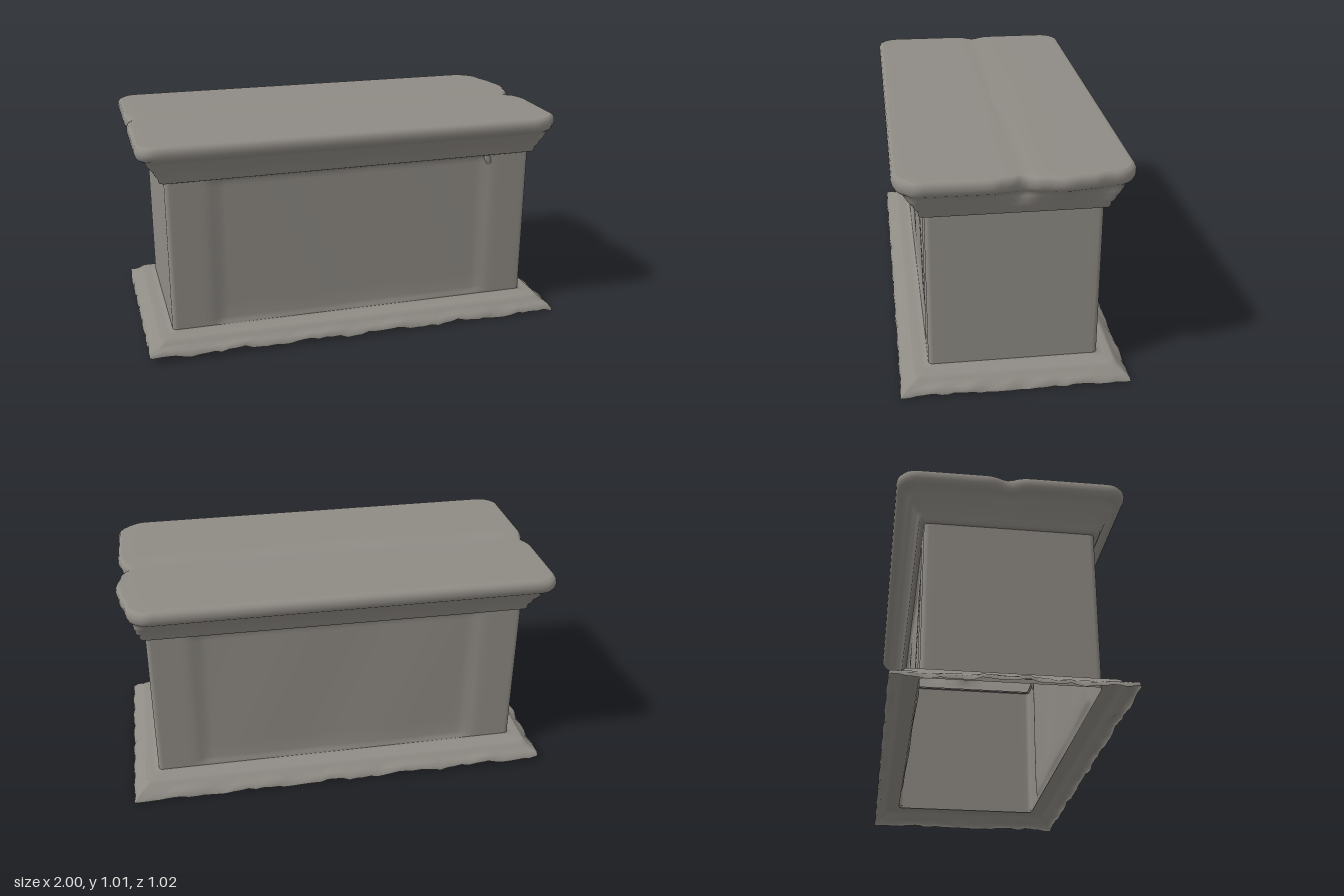
import * as THREE from 'three';

const BODY_X = 0.875, BODY_Z = 0.377, SHIFT_Z = -0.006;
const LONG = 56, SHORT = 36, ARC = 6;
const smooth = THREE.MathUtils.smoothstep;

// Rounded rectangle, counter-clockwise seen from above, same point count for every size
function ring(hx, hz, r) {
  const pts = [];
  const corners = [[1, -1, 0], [-1, -1, 1], [-1, 1, 2], [1, 1, 3]];
  corners.forEach(([sx, sz, q], k) => {
    for (let i = 0; i <= ARC; i++) {
      const a = (q + i / ARC) * Math.PI / 2;
      pts.push([sx * (hx - r) + r * Math.cos(a), sz * (hz - r) - r * Math.sin(a)]);
    }
    const [nx, nz] = corners[(k + 1) % 4];
    const a = (q + 1) * Math.PI / 2;
    const from = pts[pts.length - 1];
    const to = [nx * (hx - r) + r * Math.cos(a), nz * (hz - r) - r * Math.sin(a)];
    const n = k % 2 ? SHORT : LONG;
    for (let i = 1; i < n; i++) {
      const t = i / n;
      pts.push([from[0] + (to[0] - from[0]) * t, from[1] + (to[1] - from[1]) * t]);
    }
  });
  return pts;
}

// Skin over rings of [x, y, z] listed from bottom to top
function loft(rings) {
  const n = rings[0].length, index = [];
  for (let i = 0; i < rings.length - 1; i++) {
    for (let j = 0; j < n; j++) {
      const a = i * n + j, b = i * n + (j + 1) % n;
      index.push(a, b, b + n, a, b + n, a + n);
    }
  }
  const geo = new THREE.BufferGeometry();
  geo.setAttribute('position', new THREE.Float32BufferAttribute(rings.flat(2), 3));
  geo.setIndex(index);
  geo.computeVertexNormals();
  return geo;
}

// Rings from a profile of [y, outward offset, corner radius], bent by a rule
function profileRings(profile, rule) {
  return profile.map(([y, d, r]) =>
    ring(BODY_X + d, BODY_Z + d * 1.04, r).map(([x, z]) => rule(x, y, z + SHIFT_Z, d)));
}

// Worn outline of the +x end: [z, depth lost]
const WEAR = [[-0.52, 0.075], [-0.4, 0.05], [-0.3, 0.025], [-0.2, 0.01], [-0.1, 0.03],
  [-0.03, 0.062], [0.03, 0.035], [0.1, 0.018], [0.4, 0.02], [0.46, 0.05], [0.52, 0.08]];
function wear(z) {
  for (let i = 1; i < WEAR.length; i++) {
    const [z0, a] = WEAR[i - 1], [z1, b] = WEAR[i];
    if (z <= z1) return a + (b - a) * smooth(z, z0, z1);
  }
  return 0.08;
}
const dent = (z) => Math.exp(-(((z + 0.03) / 0.045) ** 2));

function wornCornice(x, y, z) {
  const w = smooth(y, 0.84, 0.96);
  let nx = x;
  if (x > 0) nx -= w * wear(z) * smooth(x, 0.75, 0.95);
  else nx += w * 0.018 * dent(z) * smooth(-x, 0.75, 0.95);
  const ny = y + w * (0.004 * z - 0.004 * x - 0.007 * dent(z));
  return [nx, ny, z];
}

// Corner piers stand slightly proud of sunken front and back panels
function panelledWall(x, y, z) {
  const side = Math.abs(z - SHIFT_Z) > BODY_Z - 0.03 ? Math.sign(z) : 0;
  const sunk = (1 - smooth(Math.abs(x), 0.63, 0.69)) * smooth(y, 0.08, 0.12)
    * (1 - smooth(y, 0.79, 0.815));
  const ripple = 0.002 * Math.sin(x * 9 + y * 4);
  return [x, y, z - side * sunk * (0.012 + ripple)];
}

// Plinth flange with a ragged outer rim
function raggedRim(x, y, z, d) {
  const w = smooth(d, 0.09, 0.125);
  const rag = 0.006 * Math.sin(x * 17 + z * 11) + 0.004 * Math.sin(x * 41 - z * 37)
    + 0.003 * Math.sin(x * 83 + z * 71);
  const spread = 1 + 0.004 * w * Math.sin(x * 31 + z * 43);
  return [THREE.MathUtils.clamp(x * spread, -1, 1),
    Math.max(0, y - 0.006 * x + w * (rag - 0.005 * x + 0.006 * z)), z * spread];
}

export function createModel() {
  const group = new THREE.Group();
  const stone = new THREE.MeshStandardMaterial({ color: 0x8f8b85, side: THREE.DoubleSide });
  stone.name = 'weathered stone';
  const add = (name, geo) => {
    const mesh = new THREE.Mesh(geo, stone);
    mesh.name = name;
    group.add(mesh);
    return mesh;
  };

  // Open-bottomed plinth
  add('plinth', loft(profileRings([
    [0.012, 0.125, 0.012], [0.028, 0.122, 0.012], [0.04, 0.108, 0.015], [0.05, 0.092, 0.02],
    [0.062, 0.08, 0.03], [0.073, 0.07, 0.03], [0.077, 0.06, 0.03], [0.078, 0.03, 0.03],
    [0.08, 0.008, 0.03], [0.088, 0, 0.025],
  ], raggedRim)));

  // Chest walls
  const wallHeights = [0.07, 0.085, 0.1, 0.12, 0.2, 0.3, 0.4, 0.5, 0.6, 0.7, 0.77, 0.79, 0.8, 0.81, 0.825];
  add('chestWalls', loft(profileRings(wallHeights.map((y) => [y, 0, 0.022]), panelledWall)));

  // Moulded cornice
  const cornice = profileRings([
    [0.812, -0.012, 0.02], [0.81, 0.01, 0.02], [0.815, 0.022, 0.022], [0.838, 0.027, 0.025],
    [0.85, 0.038, 0.03], [0.868, 0.046, 0.035], [0.885, 0.06, 0.04], [0.905, 0.075, 0.05],
    [0.922, 0.086, 0.06], [0.932, 0.1, 0.065], [0.942, 0.114, 0.07], [0.955, 0.122, 0.075],
    [0.97, 0.125, 0.08], [0.985, 0.123, 0.08], [0.997, 0.117, 0.08], [1.003, 0.107, 0.08],
  ], wornCornice);
  add('cornice', loft(cornice));

  // Lid surface drawn in from the cornice rim, with a faint lengthwise crease
  const rim = cornice[cornice.length - 1];
  const lid = [1, 0.97, 0.93, 0.85, 0.7, 0.5, 0.3, 0.12, 0].map((s) => rim.map(([x, y, z]) => {
    const nx = x * s, nz = SHIFT_Z + (z - SHIFT_Z) * s;
    const flat = 1.004 + 0.004 * nz - 0.004 * nx - 0.004 * dent(nz);
    return [nx, s === 1 ? y : flat, nz];
  }));
  add('lidTop', loft(lid));

  // Small spur hanging at the front panel corner
  const spur = add('panelSpur', new THREE.SphereGeometry(1, 16, 10));
  spur.scale.set(0.016, 0.04, 0.012);
  spur.position.set(0.665, 0.79, 0.362);
  spur.rotation.z = 0.35;

  return group;
}
